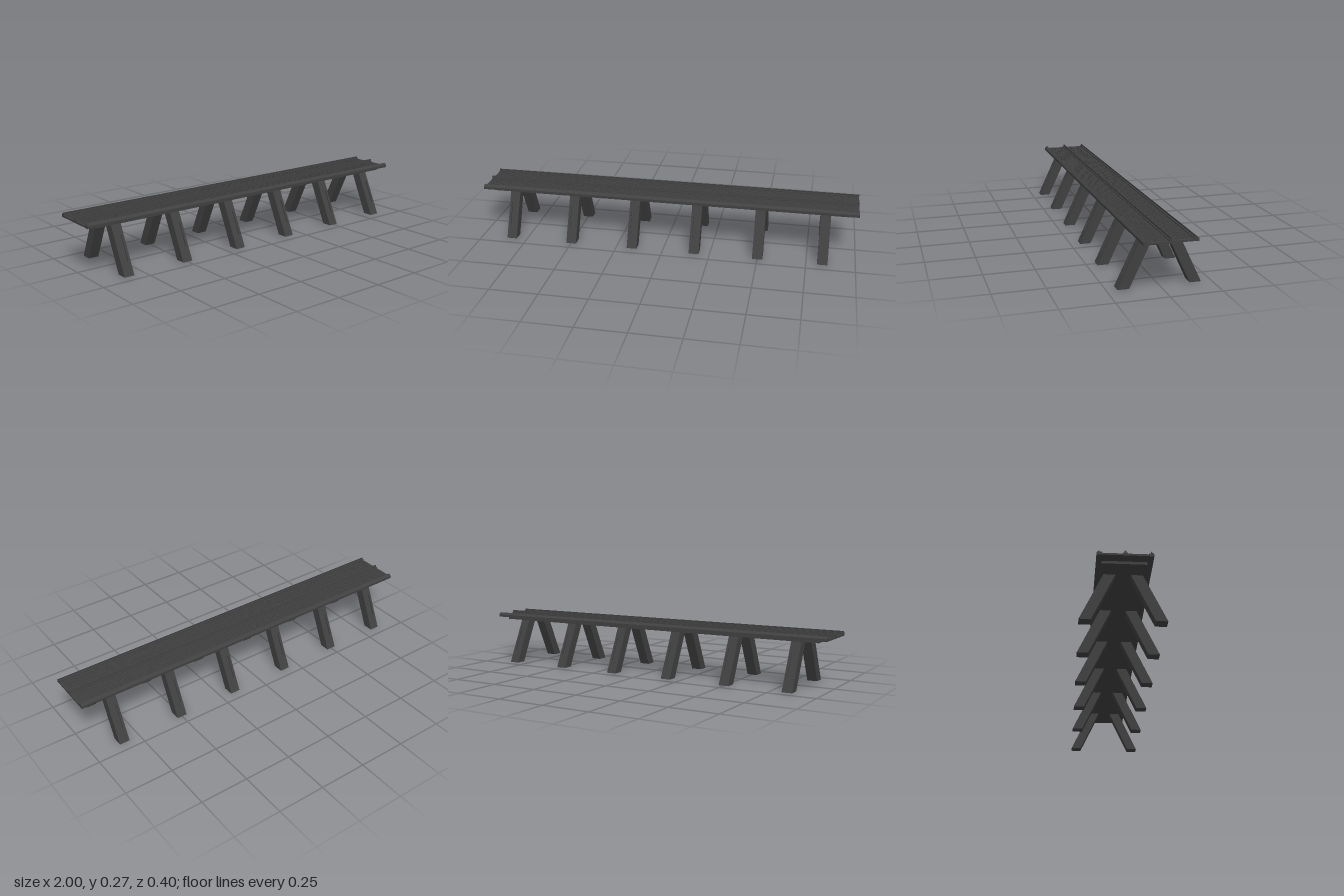
import * as THREE from 'three';
import { mergeGeometries } from 'three/addons/utils/BufferGeometryUtils.js';

const dark = new THREE.MeshStandardMaterial({ color: 0x404040 });

function add(parent, name, geometry) {
  const mesh = new THREE.Mesh(geometry, dark);
  mesh.name = name;
  parent.add(mesh);
  return mesh;
}

// Extrudes a [z, y] profile along the whole length of the bridge
function rail(points, length = 2) {
  const shape = new THREE.Shape(points.map(([z, y]) => new THREE.Vector2(-z, y)));
  const geometry = new THREE.ExtrudeGeometry(shape, { depth: length, bevelEnabled: false });
  return geometry.translate(0, 0, -length / 2).rotateY(Math.PI / 2);
}

function rectangle(Type, w, y0, y1) {
  return new Type([[-w, y0], [w, y0], [w, y1], [-w, y1]].map(p => new THREE.Vector2(...p)));
}

// Leaning leg: upright block and a front plate with a sunken panel, sheared inward
function legGeometry() {
  const height = 0.236, width = 0.053, depth = 0.055, recess = 0.008;
  const core = new THREE.BoxGeometry(width, height, depth - recess);
  core.translate(0, height / 2, 0.145 + (depth - recess) / 2);
  const face = rectangle(THREE.Shape, width / 2, 0, height);
  face.holes.push(rectangle(THREE.Path, 0.014, 0.065, 0.18));
  const plate = new THREE.ExtrudeGeometry(face, { depth: recess, bevelEnabled: false });
  plate.translate(0, 0, 0.2 - recess);
  const leg = mergeGeometries([core.toNonIndexed(), plate]);
  const p = leg.attributes.position;
  for (let i = 0; i < p.count; i++) p.setZ(i, p.getZ(i) - 0.47 * p.getY(i));
  leg.computeVertexNormals();
  return leg;
}

// Rows of small raised treads on both lanes
function treadGeometry() {
  const parts = [];
  for (const side of [-1, 1])
    for (let row = 0; row < 8; row++)
      for (let i = 0; i < 158; i++) {
        const box = new THREE.BoxGeometry(0.007, 0.003, 0.006);
        const stagger = row % 2 ? 0.003 : -0.003;
        parts.push(box.translate((i - 78.5) * 0.0125 + stagger, 0.258, side * (0.022 + row * 0.0108)));
      }
  return mergeGeometries(parts);
}

export function createModel() {
  const model = new THREE.Group();
  model.name = 'bridge';

  // Deck slab and the narrower plate beneath it
  add(model, 'deck', new THREE.BoxGeometry(2, 0.0095, 0.24)).position.y = 0.25225;
  add(model, 'underPlate', new THREE.BoxGeometry(1.9, 0.015, 0.205)).position.y = 0.2415;
  add(model, 'deckTreads', treadGeometry());

  // Sloped curbs along both edges
  const curb = rail([[0.128, 0.247], [0.128, 0.26], [0.114, 0.271],
    [0.114, 0.2625], [0.105, 0.2625], [0.105, 0.247]]);
  add(model, 'frontCurb', curb);
  add(model, 'backCurb', curb).rotation.y = Math.PI;

  // Low stepped divider along the middle
  add(model, 'centreDivider', rail([[0.011, 0.256], [0.011, 0.2625], [0.004, 0.2625], [0.003, 0.273],
    [-0.003, 0.273], [-0.004, 0.2625], [-0.011, 0.2625], [-0.011, 0.256]]));

  // Six pairs of leaning legs
  const legs = new THREE.Group();
  legs.name = 'legs';
  model.add(legs);
  const leg = legGeometry();
  for (let i = 0; i < 6; i++) {
    const x = (i - 2.5) / 3;
    add(legs, 'frontLeg', leg).position.x = x;
    const back = add(legs, 'backLeg', leg);
    back.position.x = x;
    back.rotation.y = Math.PI;
  }
  return model;
}
